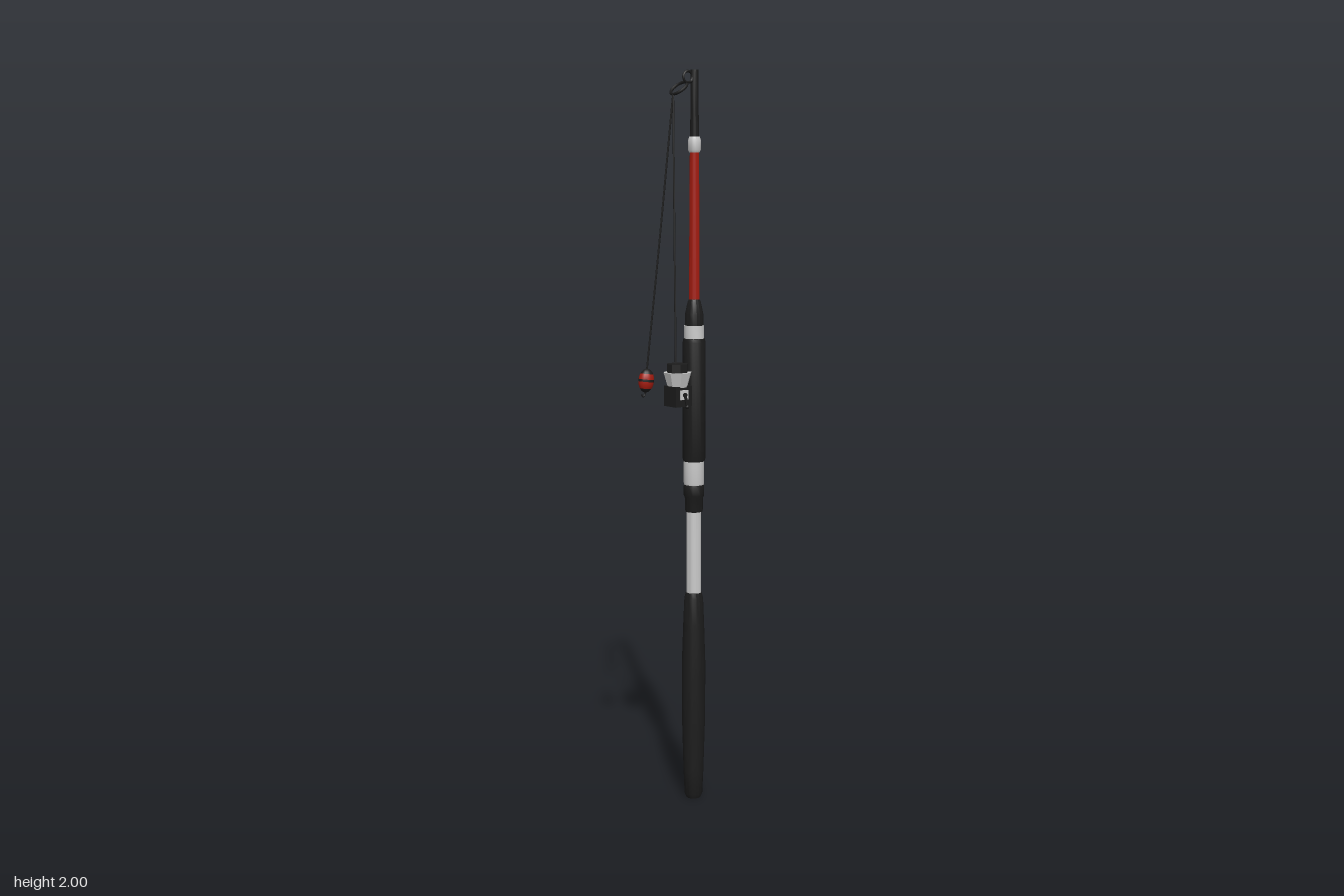
import * as THREE from 'three';
import { toCreasedNormals } from 'three/addons/utils/BufferGeometryUtils.js';

const grey = new THREE.MeshStandardMaterial({ color: 0xcccccc });
const black = new THREE.MeshStandardMaterial({ color: 0x1c1c1c });
const red = new THREE.MeshStandardMaterial({ color: 0xa51c10 });

const V = (x, y, z) => new THREE.Vector3(x, y, z);

function add(parent, name, geometry, material, position = V(0, 0, 0)) {
  const mesh = new THREE.Mesh(geometry, material);
  mesh.name = name;
  mesh.position.copy(position);
  parent.add(mesh);
  return mesh;
}

// Closed solid of revolution from [radius, y] pairs, listed bottom to top
function turned(points, sides = 16) {
  const pts = [[0, points[0][1]], ...points, [0, points[points.length - 1][1]]];
  return toCreasedNormals(new THREE.LatheGeometry(pts.map(p => new THREE.Vector2(...p)), sides), 0.6);
}

function wire(points, radius) {
  return new THREE.TubeGeometry(new THREE.CatmullRomCurve3(points), 16, radius, 6);
}

export function createModel() {
  const model = new THREE.Group();
  model.name = 'fishingRod';

  // Rod sections, stacked along one axis
  const rod = new THREE.Group();
  rod.name = 'rod';
  rod.position.x = 0.066;
  model.add(rod);
  const sections = [
    ['rearGrip', black, [[0.02, 0], [0.025, 0.012], [0.028, 0.08], [0.032, 0.22], [0.033, 0.38], [0.029, 0.5], [0.026, 0.572], [0.022, 0.588]]],
    ['lowerTube', grey, [[0.02, 0.58], [0.02, 0.82]]],
    ['lowerCollar', black, [[0.023, 0.815], [0.025, 0.822], [0.025, 0.853], [0.028, 0.86], [0.028, 0.885], [0.026, 0.892]]],
    ['lowerRing', grey, [[0.027, 0.89], [0.028, 0.895], [0.028, 0.957]]],
    ['reelSeat', black, [[0.029, 0.955], [0.031, 0.962], [0.031, 1.28], [0.029, 1.29]]],
    ['upperRing', grey, [[0.027, 1.288], [0.027, 1.325]]],
    ['upperCollar', black, [[0.025, 1.322], [0.025, 1.355], [0.018, 1.388], [0.015, 1.395]]],
    ['blank', red, [[0.0145, 1.39], [0.0125, 1.79]]],
    ['ferrule', grey, [[0.014, 1.785], [0.017, 1.791], [0.017, 1.818], [0.014, 1.826]]],
    ['tip', black, [[0.012, 1.82], [0.011, 1.9], [0.0105, 2]]],
  ];
  for (const [name, material, profile] of sections) add(rod, name, turned(profile), material);

  // Line guide: a small wire loop on the tip carrying a tilted ring
  const guide = new THREE.Group();
  guide.name = 'lineGuide';
  model.add(guide);
  add(guide, 'guideLoop', new THREE.TorusGeometry(0.015, 0.0035, 6, 20), black, V(0.043, 1.981, 0));
  const ring = add(guide, 'guideRing', new THREE.TorusGeometry(0.025, 0.004, 6, 24), black, V(0.025, 1.952, -0.015));
  ring.quaternion.setFromUnitVectors(V(0, 0, 1), V(0.64, -0.77, 0).normalize());
  add(guide, 'guideFoot', wire([V(0.034, 1.966, 0.005), V(0.046, 1.967, 0.003), V(0.064, 1.972, 0)], 0.0035), black);

  // Fishing line: one run to the reel, one to the float
  add(model, 'reelLine', wire([V(0.005, 1.94, -0.014), V(0.006, 1.58, -0.01), V(0.006, 1.2, -0.004)], 0.0028), black);
  add(model, 'floatLine', wire([V(0.005, 1.94, -0.014), V(-0.034, 1.58, -0.019), V(-0.077, 1.21, -0.024)], 0.0025), black);

  // Reel
  const reel = new THREE.Group();
  reel.name = 'reel';
  reel.position.set(0.003, 0, 0.006);
  model.add(reel);
  const prism = (top, bottom, height) => {
    const g = new THREE.CylinderGeometry(top, bottom, height, 8).rotateY(Math.PI / 8).toNonIndexed();
    g.computeVertexNormals();
    return g;
  };
  add(reel, 'spoolCap', prism(0.029, 0.029, 0.026), black, V(0, 1.213, 0));
  add(reel, 'spool', prism(0.039, 0.027, 0.04), grey, V(0.001, 1.183, 0));
  add(reel, 'reelBody', new THREE.BoxGeometry(0.056, 0.055, 0.05), black, V(0.003, 1.139, 0));
  add(reel, 'sidePlate', new THREE.BoxGeometry(0.026, 0.026, 0.006), grey, V(0.002, 1.144, 0.026));
  add(reel, 'reelFoot', new THREE.BoxGeometry(0.05, 0.02, 0.018), black, V(0.042, 1.15, -0.006));
  // Crank on the side plate
  add(reel, 'crankAxle', new THREE.CylinderGeometry(0.006, 0.006, 0.008, 8).rotateX(Math.PI / 2), black, V(0.002, 1.144, 0.03));
  const arm = add(reel, 'crankArm', new THREE.BoxGeometry(0.007, 0.036, 0.004), black, V(0.005, 1.128, 0.032));
  arm.rotation.z = 0.2;
  add(reel, 'crankKnob', new THREE.SphereGeometry(0.006, 8, 6), black, V(0.009, 1.112, 0.031));

  // Float: egg-shaped body with banding and a hook below
  const float = new THREE.Group();
  float.name = 'float';
  float.position.set(-0.079, 1.184, -0.024);
  float.rotation.z = -0.12;
  model.add(float);
  const egg = (from, to) => {
    const pts = [];
    for (let i = 0; i <= 6; i++) {
      const a = from + (to - from) * i / 6;
      pts.push(new THREE.Vector2(Math.max(0, Math.cos(a)) * 0.022, Math.sin(a) * 0.032));
    }
    return new THREE.LatheGeometry(pts, 14).scale(1, 1, 0.85);
  };
  const bands = [
    ['floatBase', black, -Math.PI / 2, -0.75], ['floatLowerBand', red, -0.75, -0.1],
    ['floatStripe', black, -0.1, 0.1], ['floatUpperBand', red, 0.1, 0.6], ['floatTop', black, 0.6, Math.PI / 2],
  ];
  for (const [name, material, from, to] of bands) add(float, name, egg(from, to), material);
  add(float, 'hook', wire([V(0, -0.03, 0), V(0, -0.038, 0), V(-0.006, -0.044, 0), V(-0.012, -0.037, 0)], 0.002), black);

  return model;
}
